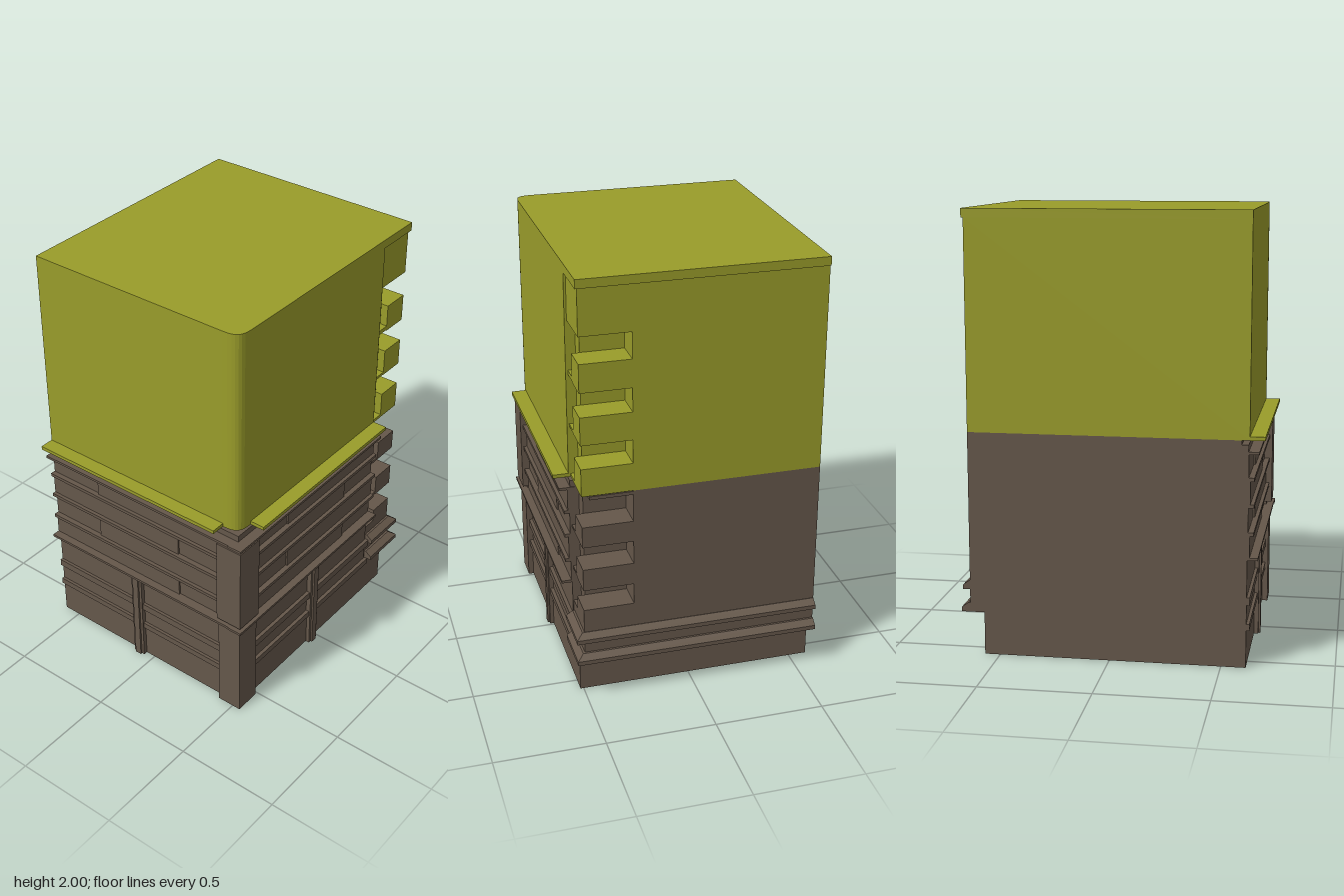
import * as THREE from 'three';

const olive = new THREE.MeshStandardMaterial({ color: 0x999c2a });
const brown = new THREE.MeshStandardMaterial({ color: 0x65574a });
const BACK = -0.585;

// Box given by its limits on each axis
function block(parent, name, mat, [x0, x1], [y0, y1], [z0, z1]) {
  const mesh = new THREE.Mesh(new THREE.BoxGeometry(x1 - x0, y1 - y0, z1 - z0), mat);
  mesh.position.set((x0 + x1) / 2, (y0 + y1) / 2, (z0 + z1) / 2);
  mesh.name = name;
  parent.add(mesh);
  return mesh;
}

// Storey body: floor plan with a step for the quoins, optionally a rounded corner
function body(parent, name, mat, y0, y1, left, front, rounded) {
  const s = new THREE.Shape();
  s.moveTo(left, -BACK);
  s.lineTo(left, rounded ? -0.43 : -front);
  if (rounded) s.bezierCurveTo(left, -0.5, left + 0.02, -front, -0.53, -front);
  s.lineTo(0.43, -front);
  s.lineTo(0.43, -0.47);
  s.lineTo(0.505, -0.47);
  s.lineTo(0.505, -0.275);
  s.lineTo(0.635, -0.275);
  s.lineTo(0.635, -BACK);
  s.closePath();
  const geo = new THREE.ExtrudeGeometry(s, { depth: y1 - y0, bevelEnabled: false, curveSegments: 8 });
  geo.rotateX(-Math.PI / 2);
  const mesh = new THREE.Mesh(geo, mat);
  mesh.position.y = y0;
  mesh.name = name;
  parent.add(mesh);
}

// Corner stones, and thin ledges across the recessed strip beside them
function quoins(parent, mat, stones, ledges) {
  const g = new THREE.Group();
  g.name = 'cornerQuoins';
  stones.forEach(y => block(g, 'quoin', mat, [0.505, 0.635], y, [0.275, 0.505]));
  ledges.forEach(y => block(g, 'quoinLedge', mat, [0.43, 0.505], y, [0.46, 0.505]));
  parent.add(g);
}

// Moulding around the right corner with a sloped, mitred top
function moulding(parent, y0, y1, right) {
  const mesh = block(parent, 'baseMoulding', brown, [0.44, right], [y0, y1], [BACK, 0.545]);
  const p = mesh.geometry.attributes.position;
  for (let i = 0; i < p.count; i++) {
    if (p.getY(i) < 0) continue;
    if (p.getX(i) > 0) p.setX(i, p.getX(i) - 0.03);
    if (p.getZ(i) > 0) p.setZ(i, p.getZ(i) - 0.03);
  }
  mesh.geometry.computeVertexNormals();
  block(parent, 'mouldingFoot', brown, [0.44, right], [y0 - 0.02, y0], [BACK, 0.545]);
}

// One decorated wall: u runs along the wall, +z points outward
function facade(name, u0, u1, ledge, post, sill) {
  const g = new THREE.Group();
  g.name = name;
  // long ledges
  block(g, 'lowerLedge', brown, ledge, [0.488, 0.5], [0.49, 0.56]);
  block(g, 'upperLedge', brown, ledge, [0.958, 0.97], [0.49, 0.56]);
  block(g, 'sill', olive, sill, [1.02, 1.037], [0.47, 0.585]);
  // brick courses with one stepped joint each
  const courses = [0.5, 0.605, 0.73, 0.848, 0.958];
  for (let i = 0; i < 4; i++) {
    const joint = u0 + (u1 - u0) * (i % 2 ? 0.28 : 0.75);
    const y = [courses[i], courses[i + 1]];
    block(g, 'brick', brown, [u0, joint], y, [0.49, i % 2 ? 0.515 : 0.523]);
    block(g, 'brick', brown, [joint, u1], y, [0.49, i % 2 ? 0.523 : 0.515]);
    if (i) block(g, 'courseStrip', brown, [u0, u1], [y[0] - 0.008, y[0] + 0.008], [0.49, 0.54]);
  }
  // planks and centre post of the lower wall
  [[0.17, 0.2], [0.285, 0.32]].forEach(y =>
    block(g, 'plank', brown, [u0, u1], y, [0.49, 0.527]));
  block(g, 'centrePost', brown, [post - 0.03, post + 0.03], [0, 0.488], [0.49, 0.533]);
  block(g, 'postFace', brown, [post - 0.016, post + 0.016], [0, 0.488], [0.49, 0.542]);
  return g;
}

export function createModel() {
  const model = new THREE.Group();
  model.name = 'building';

  // Upper storey
  body(model, 'upperStorey', olive, 1.02, 1.96, -0.615, 0.515, true);
  const roof = new THREE.Shape();
  roof.moveTo(-0.615, -BACK);
  roof.lineTo(-0.615, -0.43);
  roof.bezierCurveTo(-0.615, -0.5, -0.595, -0.515, -0.53, -0.515);
  roof.lineTo(0.645, -0.515);
  roof.lineTo(0.645, -BACK);
  roof.closePath();
  const roofGeo = new THREE.ExtrudeGeometry(roof, { depth: 0.04, bevelEnabled: false, curveSegments: 8 });
  roofGeo.rotateX(-Math.PI / 2);
  const roofMesh = new THREE.Mesh(roofGeo, olive);
  roofMesh.position.y = 1.96;
  roofMesh.name = 'roofCornice';
  model.add(roofMesh);
  quoins(model, olive,
    [[1.02, 1.15], [1.26, 1.39], [1.5, 1.63], [1.75, 1.96]],
    [[1.02, 1.035], [1.262, 1.275], [1.505, 1.525], [1.75, 1.96]]);

  // Lower storey
  body(model, 'lowerStorey', brown, 0.195, 1.0, -0.61, 0.51, false);
  block(model, 'storeyJoint', brown, [-0.58, 0.635], [1.0, 1.02], [BACK, 0.275]);
  block(model, 'storeyJointFront', brown, [-0.58, 0.635], [1.0, 1.016], [0.275, 0.47]);
  block(model, 'base', brown, [-0.61, 0.57], [0, 0.195], [BACK, 0.515]);
  quoins(model, brown,
    [[0.195, 0.455], [0.555, 0.66], [0.77, 0.87]],
    [[0.195, 0.39], [0.56, 0.573], [0.77, 0.783]]);
  moulding(model, 0.215, 0.237, 0.675);
  moulding(model, 0.32, 0.342, 0.667);

  // Front and left-hand walls
  model.add(facade('frontFacade', -0.53, 0.435, [-0.66, 0.435], -0.04, [-0.53, 0.43]));
  const side = facade('sideFacade', BACK, 0.43, [BACK, 0.558], -0.08, [BACK, 0.43]);
  side.rotation.y = -Math.PI / 2;
  side.position.x = -0.097;
  model.add(side);

  // Corner pillar between the two walls
  block(model, 'cornerBlock', brown, [-0.65, -0.513], [0.515, 0.942], [0.42, 0.552]);
  block(model, 'cornerCore', brown, [-0.625, -0.525], [0.5, 0.96], [0.43, 0.528]);
  block(model, 'cornerPost', brown, [-0.637, -0.513], [0, 0.488], [0.42, 0.54]);

  return model;
}
